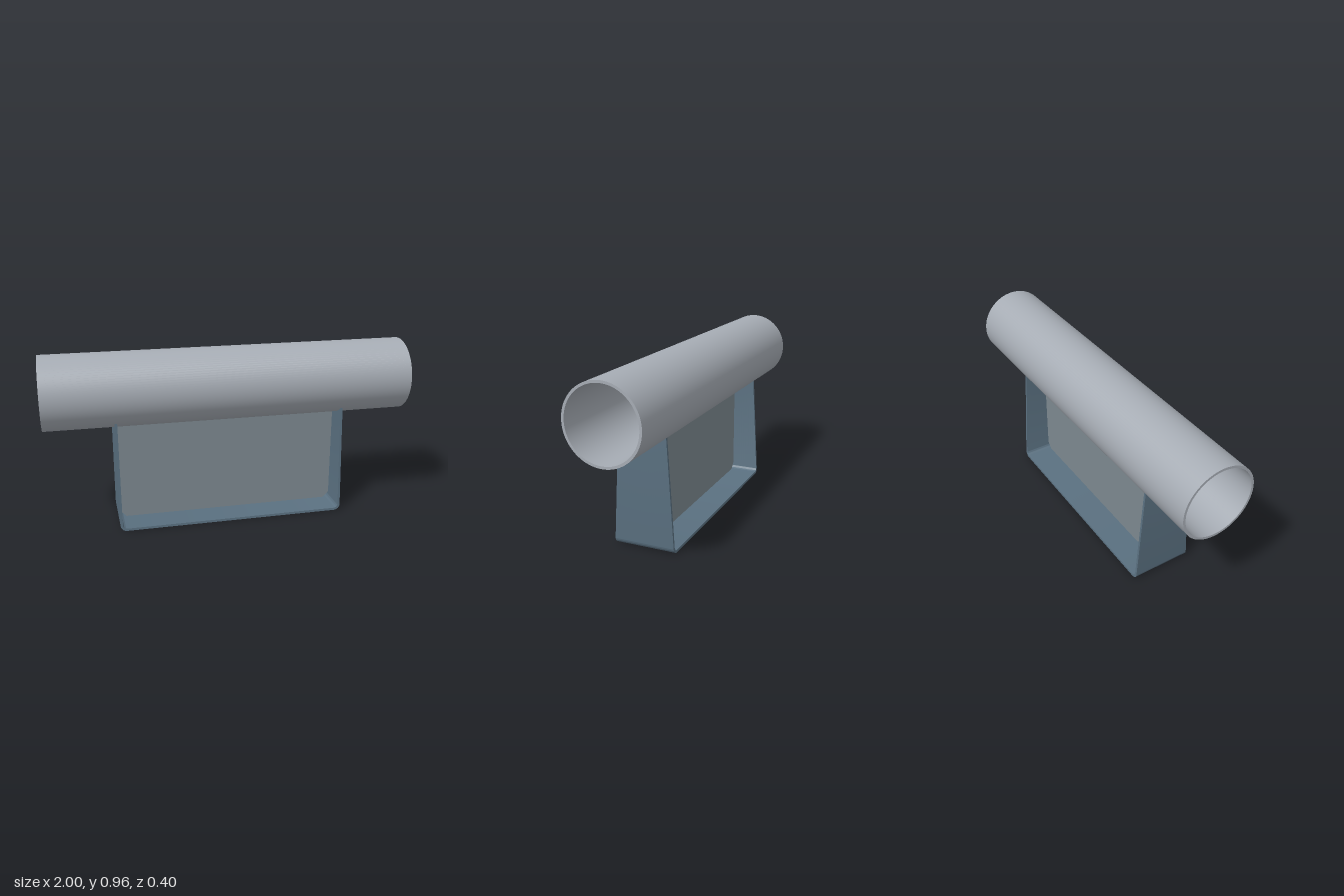
import * as THREE from 'three';
import { toCreasedNormals } from 'three/addons/utils/BufferGeometryUtils.js';

const TUBE_R = 0.2, TUBE_Y = 0.757, WALL = 0.013;
const HALF_W = 0.63, PLATE = 0.013, BEND = 0.035, TOP_Y = 0.605;

const material = (color) => new THREE.MeshStandardMaterial({ color });

// Half depth of the tapered bracket at a given height
const halfDepth = (y) => THREE.MathUtils.lerp(0.166, 0.13, y / TOP_Y);

// Hollow round tube along x
function createTube() {
  const ring = new THREE.Shape().absarc(0, 0, TUBE_R, 0, Math.PI * 2, false);
  ring.holes.push(new THREE.Path().absarc(0, 0, TUBE_R - WALL, 0, Math.PI * 2, true));
  const geo = new THREE.ExtrudeGeometry(ring, { depth: 2, bevelEnabled: false, curveSegments: 48 });
  geo.translate(0, 0, -1).rotateY(Math.PI / 2).translate(0, TUBE_Y, 0);
  const mesh = new THREE.Mesh(toCreasedNormals(geo, 0.6), material(0xa6acb4));
  mesh.name = 'tube';
  return mesh;
}

// Bent U-shaped plate, tapered in depth, with its tops cut to fit the tube
function createBracket() {
  const w = HALF_W, wi = HALF_W - PLATE, r = BEND, ri = BEND - PLATE;
  const s = new THREE.Shape();
  s.moveTo(-w, TOP_Y);
  s.lineTo(-w, r);
  s.absarc(-w + r, r, r, Math.PI, Math.PI * 1.5, false);
  s.lineTo(w - r, 0);
  s.absarc(w - r, r, r, Math.PI * 1.5, Math.PI * 2, false);
  s.lineTo(w, TOP_Y);
  s.lineTo(wi, TOP_Y);
  s.lineTo(wi, r);
  s.absarc(w - r, r, ri, 0, -Math.PI / 2, true);
  s.lineTo(-w + r, PLATE);
  s.absarc(-w + r, r, ri, -Math.PI / 2, -Math.PI, true);
  s.lineTo(-wi, TOP_Y);
  s.closePath();
  const geo = new THREE.ExtrudeGeometry(s, { depth: 2, steps: 24, bevelEnabled: false, curveSegments: 8 });
  geo.translate(0, 0, -1);
  const p = geo.attributes.position;
  for (let i = 0; i < p.count; i++) {
    const y = p.getY(i);
    const z = p.getZ(i) * halfDepth(y);
    p.setZ(i, z);
    // Saddle cut under the tube
    if (y > TOP_Y - 0.001) p.setY(i, TUBE_Y - Math.sqrt(TUBE_R ** 2 - z * z));
  }
  const mesh = new THREE.Mesh(toCreasedNormals(geo, 0.6), material(0x5a7080));
  mesh.name = 'bracket';
  return mesh;
}

// Central upright web with clipped lower corners
function createWeb() {
  const w = HALF_W - PLATE, b = PLATE, c = 0.034, top = TUBE_Y - TUBE_R + 0.002;
  const s = new THREE.Shape([
    [-w, top], [-w, b + c], [-w + c, b], [w - c, b], [w, b + c], [w, top],
  ].map(([x, y]) => new THREE.Vector2(x, y)));
  const geo = new THREE.ExtrudeGeometry(s, { depth: PLATE, bevelEnabled: false });
  geo.translate(0, 0, -PLATE / 2);
  const mesh = new THREE.Mesh(geo, material(0x7d8990));
  mesh.name = 'web';
  return mesh;
}

export function createModel() {
  const model = new THREE.Group();
  model.name = 'pipeSupport';
  model.add(createTube(), createBracket(), createWeb());
  return model;
}
